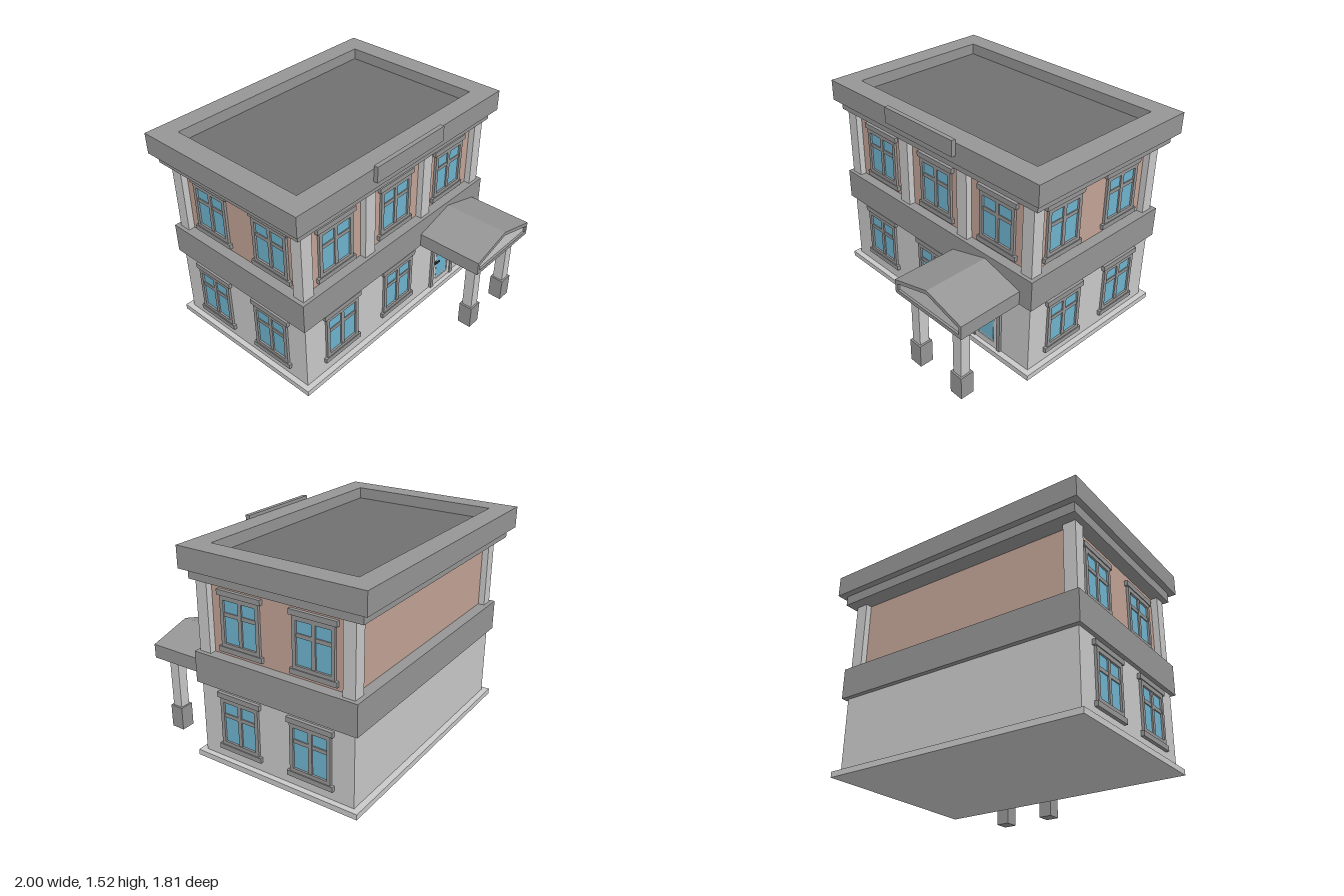
import * as THREE from 'three';

const mat = (name, color, side = THREE.FrontSide) => {
  const m = new THREE.MeshStandardMaterial({ color, side });
  m.name = name;
  return m;
};

export function createModel() {
  const house = new THREE.Group();
  house.name = 'house';
  const wall = mat('light plaster', 0xc9c9c9);
  const trim = mat('grey trim', 0x959595);
  const brick = mat('pale brick', 0xc2a396);
  const glass = mat('blue glass', 0x6fb4cf);
  const roof = mat('dark roof', 0x707070);
  const bevel = mat('white bevel', 0xdcdcdc);
  const metal = mat('dark metal', 0x33363c);

  // Box given by its min and max on each axis
  const box = (name, m, x0, x1, y0, y1, z0, z1, parent = house) => {
    const mesh = new THREE.Mesh(new THREE.BoxGeometry(x1 - x0, y1 - y0, z1 - z0), m);
    mesh.position.set((x0 + x1) / 2, (y0 + y1) / 2, (z0 + z1) / 2);
    mesh.name = name;
    parent.add(mesh);
    return mesh;
  };
  const polygon = (pts, Type = THREE.Shape) => new Type(pts.map(([x, y]) => new THREE.Vector2(x, y)));
  const extrude = (name, m, shape, depth, parent = house) => {
    const mesh = new THREE.Mesh(new THREE.ExtrudeGeometry(shape, { depth, bevelEnabled: false }), m);
    mesh.name = name;
    parent.add(mesh);
    return mesh;
  };
  const rect = (x0, x1, y0, y1) => [[x0, y0], [x1, y0], [x1, y1], [x0, y1]];

  // Storeys and bands
  box('plinth', wall, -0.957, 0.957, 0, 0.04, -0.835, 0.437);
  box('groundFloor', wall, -0.917, 0.917, 0.04, 0.56, -0.79, 0.395);
  box('middleBand', trim, -0.945, 0.945, 0.56, 0.78, -0.823, 0.42);
  box('upperFloor', brick, -0.87, 0.87, 0.78, 1.28, -0.745, 0.35);
  box('lowerCornice', trim, -0.957, 0.957, 1.28, 1.35, -0.862, 0.415);

  // Corner and front pilasters
  for (const x of [-0.917, 0.827])
    for (const z of [-0.79, 0.308]) box('cornerPilaster', wall, x, x + 0.09, 0.78, 1.28, z, z + 0.087);
  for (const x of [-0.343, 0.243]) box('frontPilaster', wall, x, x + 0.093, 0.78, 1.28, 0.34, 0.395);

  // Parapet ring around the sunken roof
  const ring = polygon(rect(-1, 1, -0.457, 0.908));
  ring.holes.push(polygon(rect(-0.848, 0.848, -0.31, 0.76), THREE.Path));
  const parapet = extrude('parapet', trim, ring, 0.15);
  parapet.rotation.x = -Math.PI / 2;
  parapet.position.y = 1.35;
  box('roofDeck', roof, -0.849, 0.849, 1.352, 1.42, -0.761, 0.311);
  box('frontPanel', trim, -0.348, 0.31, 1.41, 1.523, 0.456, 0.488);

  // Window facing +z, origin at the wall surface, base of the sill at y = 0
  const addWindow = (x, y, z, turn) => {
    const g = new THREE.Group();
    g.name = 'window';
    const frame = polygon(rect(-0.153, 0.153, 0.03, 0.39));
    frame.holes.push(polygon(rect(-0.126, 0.126, 0.062, 0.353), THREE.Path));
    extrude('windowFrame', trim, frame, 0.018, g);
    box('windowGlass', glass, -0.127, 0.127, 0.061, 0.354, -0.005, 0.004, g);
    box('mullion', trim, -0.014, 0.014, 0.062, 0.353, 0, 0.014, g);
    for (const s of [-1, 1])
      box('transom', trim, Math.min(s * 0.014, s * 0.126), Math.max(s * 0.014, s * 0.126), 0.243, 0.27, 0, 0.011, g);
    box('sill', trim, -0.172, 0.172, 0, 0.036, 0, 0.024, g);
    box('lintel', trim, -0.172, 0.172, 0.383, 0.42, 0, 0.024, g);
    g.position.set(x, y, z);
    g.rotation.y = turn;
    house.add(g);
  };
  for (const x of [-0.583, -0.003, 0.578]) {
    addWindow(x, 0.807, 0.35, 0);
    if (x < 0.5) addWindow(x, 0.135, 0.395, 0);
  }
  for (const s of [-1, 1])
    for (const z of [0.08, -0.475]) {
      addWindow(s * 0.87, 0.807, z, s * Math.PI / 2);
      addWindow(s * 0.917, 0.112, z, s * Math.PI / 2);
    }

  // Front door
  const door = new THREE.Group();
  door.name = 'frontDoor';
  house.add(door);
  const frame = polygon([[0.4, 0.04], [0.43, 0.04], [0.43, 0.448], [0.64, 0.448], [0.64, 0.04], [0.67, 0.04], [0.67, 0.475], [0.4, 0.475]]);
  extrude('doorFrame', trim, frame, 0.018, door).position.z = 0.395;
  const leaf = polygon(rect(0.43, 0.64, 0.04, 0.448));
  leaf.holes.push(polygon(rect(0.462, 0.608, 0.085, 0.412), THREE.Path));
  extrude('doorLeaf', wall, leaf, 0.01, door).position.z = 0.395;
  box('doorBevel', bevel, 0.461, 0.609, 0.084, 0.413, 0.392, 0.398, door);
  box('doorGlass', glass, 0.47, 0.6, 0.097, 0.405, 0.394, 0.401, door);
  box('handleLever', metal, 0.437, 0.488, 0.248, 0.26, 0.412, 0.42, door);
  box('handleStem', metal, 0.44, 0.456, 0.244, 0.264, 0.403, 0.413, door);

  // Porch canopy: gabled block with a rimmed, inset pediment
  const porch = new THREE.Group();
  porch.name = 'porch';
  house.add(porch);
  const gable = (x0, x1, y0, y1, peak) => [[x0, y0], [x1, y0], [x1, y1], [0.535, peak], [x0, y1]];
  const outer = gable(0.225, 0.845, 0.56, 0.66, 0.748);
  const inner = gable(0.25, 0.822, 0.588, 0.637, 0.72);
  extrude('canopy', trim, polygon(outer), 0.465, porch).position.z = 0.42;
  const rim = polygon(outer);
  rim.holes.push(polygon(inner, THREE.Path));
  extrude('canopyRim', trim, rim, 0.02, porch).position.z = 0.885;
  extrude('pediment', wall, polygon(inner), 0.005, porch).position.z = 0.884;

  // Porch columns on block feet
  for (const x of [0.336, 0.735]) {
    box('porchColumn', wall, x - 0.037, x + 0.037, 0.17, 0.56, 0.768, 0.844, porch);
    box('columnFoot', trim, x - 0.051, x + 0.051, 0, 0.172, 0.755, 0.857, porch);
  }
  return house;
}
